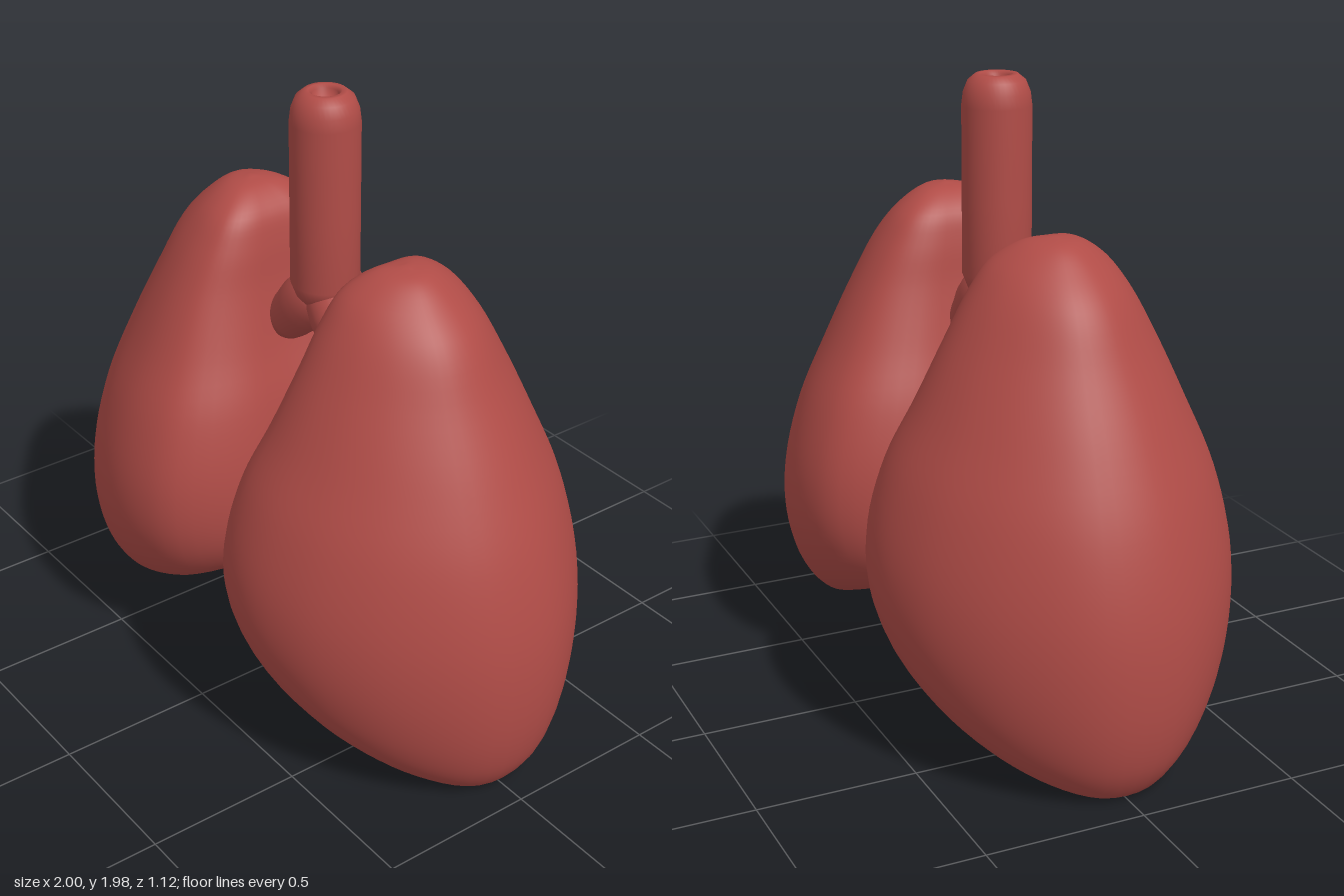
import * as THREE from 'three';
import { mergeVertices } from 'three/addons/utils/BufferGeometryUtils.js';

const V3 = (x, y, z) => new THREE.Vector3(x, y, z);

// Sections from apex to hollow base:
// inner x, inner y, half depth, outer x, outer y, medial dent
const SECTIONS = [
  [0.39, 1.577, 0, 0.39, 1.577, 0],
  [0.32, 1.56, 0.09, 0.47, 1.56, 0],
  [0.255, 1.5, 0.18, 0.55, 1.5, 0],
  [0.225, 1.41, 0.245, 0.635, 1.41, 0.02],
  [0.2, 1.28, 0.32, 0.72, 1.25, 0.04],
  [0.15, 1.1, 0.41, 0.83, 1.04, 0.06],
  [0.09, 0.92, 0.5, 0.925, 0.82, 0.06],
  [0.055, 0.72, 0.555, 0.985, 0.58, 0.05],
  [0.055, 0.56, 0.555, 1.0, 0.38, 0.05],
  [0.08, 0.44, 0.515, 0.985, 0.2, 0.09],
  [0.14, 0.335, 0.445, 0.945, 0.075, 0.16],
  [0.22, 0.275, 0.36, 0.885, 0.005, 0.18],
  [0.31, 0.265, 0.26, 0.81, 0.03, 0.12],
  [0.4, 0.32, 0.15, 0.71, 0.17, 0.04],
  [0.55, 0.32, 0, 0.55, 0.32, 0],
];

// Closed egg-shaped loop, narrower outwards, with a slight dent on the medial side
function sectionLoop(dent, count) {
  const half = [[0.97, 0.2], [0.85, 0.41], [0.57, 0.68], [0.22, 0.88], [-0.08, 0.97], [-0.35, 1],
    [-0.6, 0.97], [-0.79, 0.89], [-0.94, 0.69], [-1, 0.44], [-1 + dent * 0.6, 0.2]];
  const pts = [[1, 0], ...half, [-1 + dent, 0], ...half.map(([u, w]) => [u, -w]).reverse()];
  const curve = new THREE.CatmullRomCurve3(pts.map(([u, w]) => V3(u, 0, w)), true);
  return curve.getSpacedPoints(count).slice(0, count);
}

function lungGeometry(rings = 70, count = 64) {
  const inner = new THREE.CatmullRomCurve3(SECTIONS.map((s) => V3(s[0], s[1], s[2])));
  const outer = new THREE.CatmullRomCurve3(SECTIONS.map((s) => V3(s[3], s[4], s[5])));
  const pos = [], index = [];
  for (let i = 0; i <= rings; i++) {
    const a = inner.getPoint(i / rings), b = outer.getPoint(i / rings);
    for (const p of sectionLoop(b.z, count)) {
      const k = (p.x + 1) / 2;
      pos.push(a.x + (b.x - a.x) * k, a.y + (b.y - a.y) * k, a.z * p.z);
    }
  }
  for (let i = 0; i < rings; i++) {
    for (let j = 0; j < count; j++) {
      const n = (j + 1) % count;
      const a = i * count + j, b = i * count + n;
      index.push(a, b, a + count, b, b + count, a + count);
    }
  }
  let geo = new THREE.BufferGeometry();
  geo.setAttribute('position', new THREE.Float32BufferAttribute(pos, 3));
  geo.setIndex(index);
  geo = mergeVertices(geo, 1e-5);
  geo.computeVertexNormals();
  return geo;
}

export function createModel() {
  const group = new THREE.Group();
  const tissue = new THREE.MeshStandardMaterial({ color: 0xb04c47 });
  tissue.name = 'tissue red';

  const add = (name, geo, turn = 0) => {
    const mesh = new THREE.Mesh(geo, tissue);
    mesh.name = name;
    mesh.rotation.y = turn;
    group.add(mesh);
  };

  // Lungs: front and back match, so a half turn gives the other side
  const lung = lungGeometry();
  add('leftLung', lung);
  add('rightLung', lung, Math.PI);

  // Windpipe with a rounded rim and a small opening
  const profile = [[0, 1.27], [0.06, 1.29], [0.09, 1.325], [0.107, 1.37], [0.107, 1.6],
    [0.107, 1.89], [0.102, 1.93], [0.088, 1.965], [0.065, 1.984], [0.05, 1.985],
    [0.04, 1.975], [0.036, 1.95], [0, 1.945]];
  add('windpipe', new THREE.LatheGeometry(profile.map(([r, y]) => new THREE.Vector2(r, y)), 40));

  // Bronchi: short tapered branches into each lung
  const from = V3(0, 1.345, 0), to = V3(0.2, 1.15, 0);
  const dir = to.clone().sub(from);
  const length = dir.length();
  const branch = [[0, -0.02], [0.06, 0], [0.082, 0.04], [0.092, 0.09], [0.092, 0.14],
    [0.085, 0.19], [0.08, 0.24], [0.072, length], [0, length]];
  const bronchus = new THREE.LatheGeometry(branch.map(([r, y]) => new THREE.Vector2(r, y)), 32);
  bronchus.applyQuaternion(new THREE.Quaternion().setFromUnitVectors(V3(0, 1, 0), dir.normalize()));
  bronchus.translate(from.x, from.y, from.z);
  add('leftBronchus', bronchus);
  add('rightBronchus', bronchus, Math.PI);

  return group;
}
